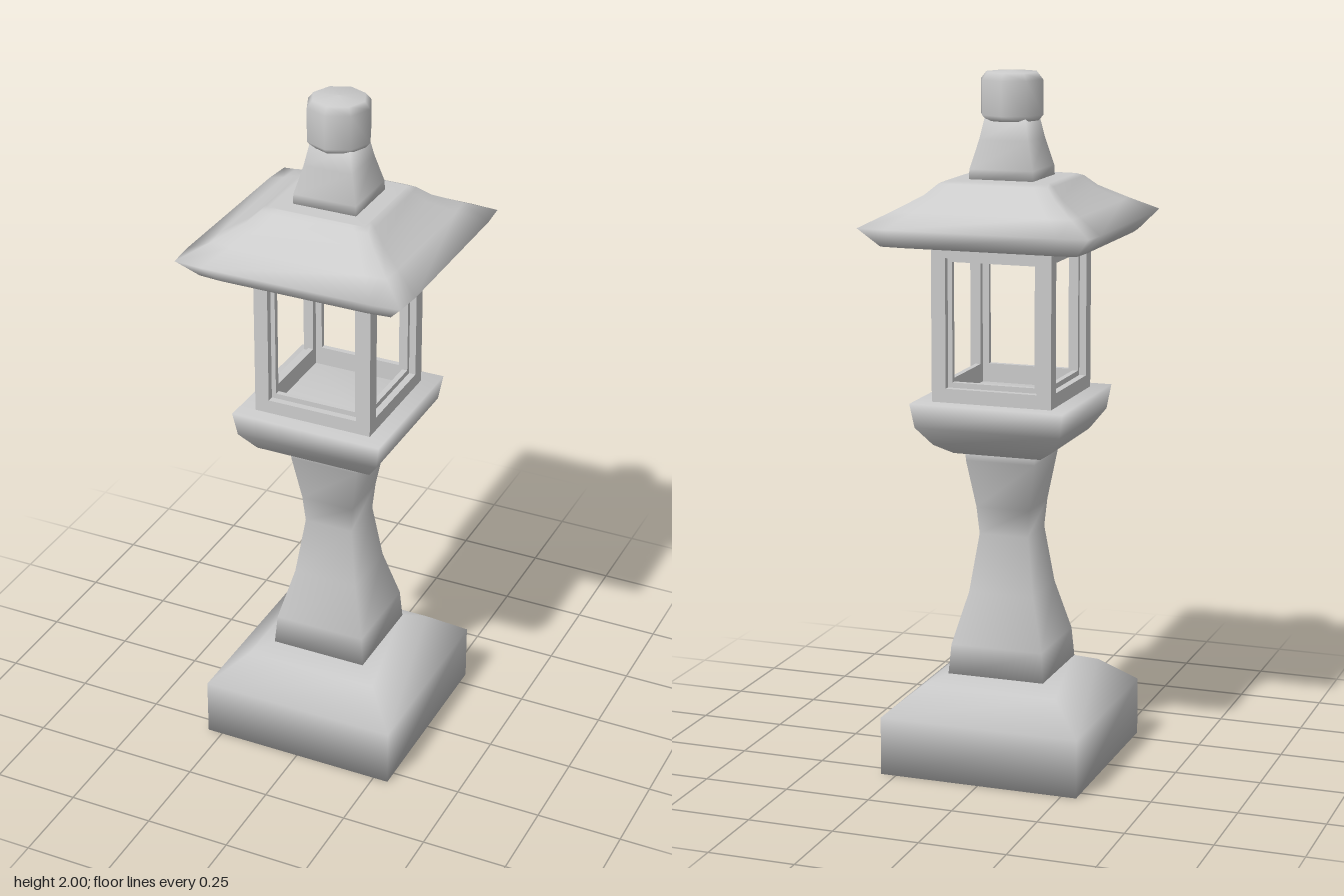
import * as THREE from 'three';

const material = new THREE.MeshStandardMaterial({ color: 0xcccccc });

// Closed square loft through [halfWidth, y] sections, with smooth shared normals.
// cornerPull draws the corners in a little so that the sides bulge.
function squareLoft(name, sections, cornerPull = 0) {
  const ring = [[1, 1], [0.74, 1], [-0.74, 1], [-1, 1], [-1, 0.74], [-1, -0.74],
    [-1, -1], [-0.74, -1], [0.74, -1], [1, -1], [1, -0.74], [1, 0.74]]
    .filter(([x, z]) => cornerPull > 0 || Math.abs(x * z) === 1);
  const n = ring.length;
  const positions = [];
  const index = [];
  for (const [half, y] of sections) {
    for (const [x, z] of ring) {
      const s = Math.abs(x * z) === 1 ? half * (1 - cornerPull) : half;
      positions.push(x * s, y, z * s);
    }
  }
  for (let j = 0; j < sections.length - 1; j++) {
    for (let i = 0; i < n; i++) {
      const a = j * n + i;
      const b = j * n + (i + 1) % n;
      index.push(a, a + n, b, b, a + n, b + n);
    }
  }
  // Flat caps
  const top = (sections.length - 1) * n;
  for (let i = 1; i < n - 1; i++) {
    index.push(0, i, i + 1);
    index.push(top, top + i + 1, top + i);
  }
  const geometry = new THREE.BufferGeometry();
  geometry.setAttribute('position', new THREE.Float32BufferAttribute(positions, 3));
  geometry.setIndex(index);
  geometry.computeVertexNormals();
  const mesh = new THREE.Mesh(geometry, material);
  mesh.name = name;
  return mesh;
}

// Four window panels meeting pinwheel-fashion at the corners
function windowFrames(name, half, depth, holeHalf, holeBottom, holeTop) {
  const group = new THREE.Group();
  group.name = name;
  const shape = new THREE.Shape([
    new THREE.Vector2(-half, 1.07), new THREE.Vector2(half - depth, 1.07),
    new THREE.Vector2(half - depth, 1.54), new THREE.Vector2(-half, 1.54),
  ]);
  shape.holes.push(new THREE.Path([
    new THREE.Vector2(-holeHalf, holeBottom), new THREE.Vector2(-holeHalf, holeTop),
    new THREE.Vector2(holeHalf, holeTop), new THREE.Vector2(holeHalf, holeBottom),
  ]));
  const geometry = new THREE.ExtrudeGeometry(shape, { depth, bevelEnabled: false });
  geometry.translate(0, 0, half - depth);
  for (let i = 0; i < 4; i++) {
    const panel = new THREE.Mesh(geometry, material);
    panel.name = 'windowPanel';
    panel.rotation.y = i * Math.PI / 2;
    group.add(panel);
  }
  return group;
}

export function createModel() {
  const model = new THREE.Group();
  model.name = 'stoneLantern';

  // Foot and waisted column
  model.add(squareLoft('base', [[0.295, 0], [0.295, 0.17], [0.2, 0.25], [0.14, 0.275]]));
  model.add(squareLoft('column', [[0.145, 0.26], [0.137, 0.36], [0.097, 0.51],
    [0.073, 0.68], [0.08, 0.76], [0.103, 0.9], [0.105, 0.94]]));

  // Platform under the light chamber
  model.add(squareLoft('platform', [[0.13, 0.925], [0.175, 0.955], [0.215, 1.01], [0.226, 1.08]]));

  // Open light chamber: outer frame and stepped inner trim
  model.add(windowFrames('chamberFrame', 0.177, 0.02, 0.135, 1.12, 1.49));
  model.add(windowFrames('chamberTrim', 0.157, 0.016, 0.122, 1.135, 1.477));

  // Roof with flared eaves
  model.add(squareLoft('roof', [[0.29, 1.53], [0.34, 1.585], [0.265, 1.625],
    [0.195, 1.665], [0.163, 1.695], [0.145, 1.702]], 0.02));

  // Neck and eight-sided finial
  model.add(squareLoft('neck', [[0.095, 1.69], [0.093, 1.73], [0.072, 1.81], [0.06, 1.87]]));
  const profile = [[0, 1.86], [0.078, 1.862], [0.092, 1.878], [0.092, 1.975], [0.076, 1.995], [0, 2]]
    .map(([r, y]) => new THREE.Vector2(r, y));
  const finial = new THREE.Mesh(new THREE.LatheGeometry(profile, 8), material);
  finial.name = 'finial';
  model.add(finial);

  return model;
}
